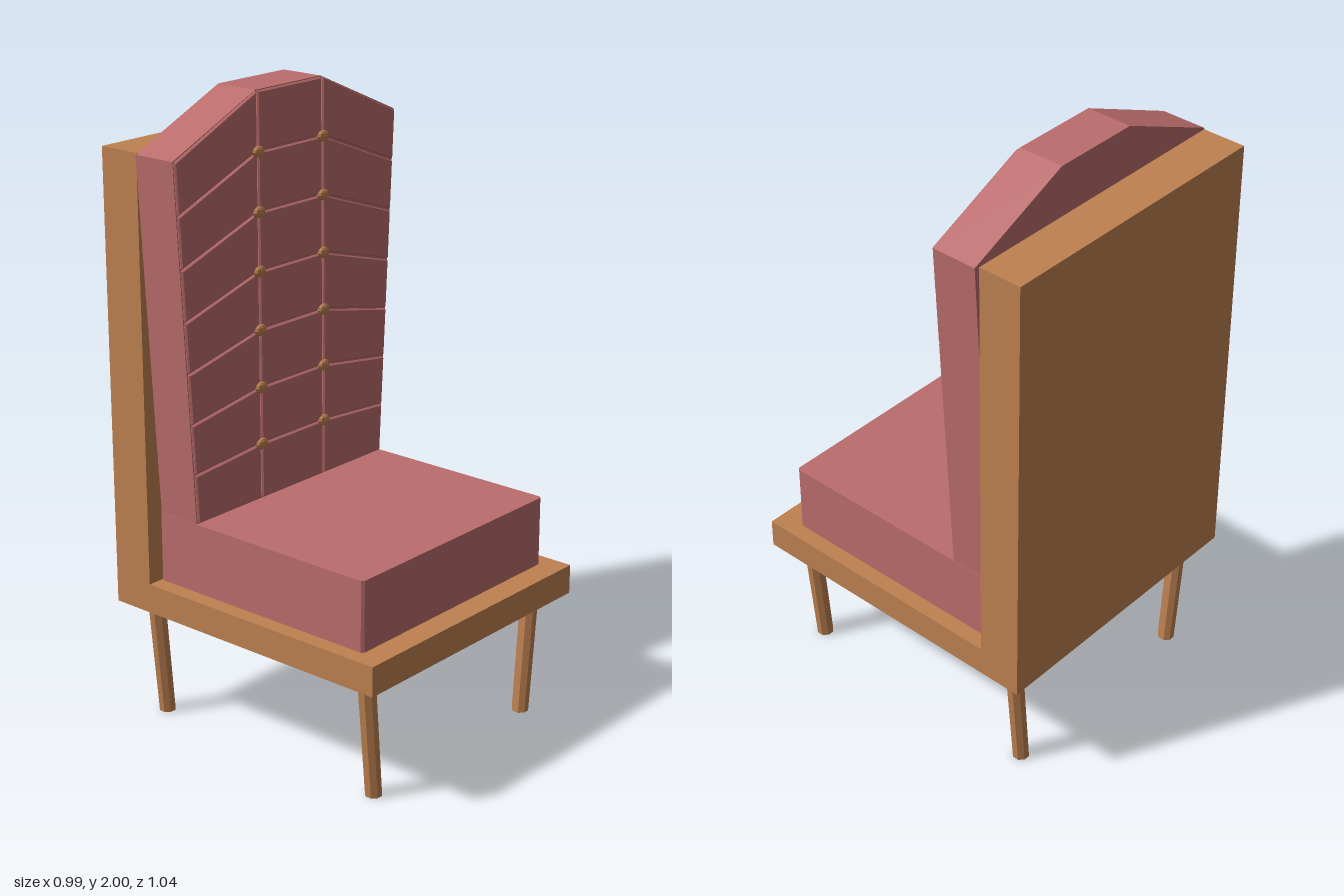
import * as THREE from 'three';

const wood = new THREE.MeshStandardMaterial({ color: 0xbd8150, flatShading: true });
const fabric = new THREE.MeshStandardMaterial({ color: 0xbb6c6c, flatShading: true });

function add(parent, name, geometry, material, x = 0, y = 0, z = 0) {
  const mesh = new THREE.Mesh(geometry, material);
  mesh.name = name;
  mesh.position.set(x, y, z);
  parent.add(mesh);
  return mesh;
}

// Box given by its lower and upper corners
function addBox(parent, name, material, [x0, y0, z0], [x1, y1, z1]) {
  return add(parent, name, new THREE.BoxGeometry(x1 - x0, y1 - y0, z1 - z0), material,
    (x0 + x1) / 2, (y0 + y1) / 2, (z0 + z1) / 2);
}

const polygon = (points) => new THREE.Shape(points.map(([x, y]) => new THREE.Vector2(x, y)));

export function createModel() {
  const chair = new THREE.Group();
  chair.name = 'tuftedChair';

  // Wooden platform and back board
  addBox(chair, 'platform', wood, [-0.485, 0.395, -0.52], [0.485, 0.49, 0.52]);
  addBox(chair, 'backBoard', wood, [-0.485, 0.395, -0.52], [0.485, 1.847, -0.377]);

  // Splayed octagonal legs: sheared so that both ends stay level
  for (const side of [-1, 1]) {
    for (const z of [-0.435, 0.427]) {
      const leg = new THREE.CylinderGeometry(0.029, 0.027, 0.4, 8);
      leg.rotateY(Math.PI / 8);
      leg.translate(0, 0.2, 0);
      const p = leg.attributes.position;
      for (let i = 0; i < p.count; i++) p.setX(i, p.getX(i) + side * 0.088 * p.getY(i));
      add(chair, z > 0 ? 'frontLeg' : 'backLeg', leg, wood, side * 0.366, 0, z);
    }
  }

  // Seat cushion with chamfered front corners, extruded upwards
  const seat = new THREE.ExtrudeGeometry(polygon([
    [-0.433, 0.37], [-0.433, -0.432], [-0.425, -0.44],
    [0.425, -0.44], [0.433, -0.432], [0.433, 0.37],
  ]), { depth: 0.225, bevelEnabled: false });
  seat.rotateX(-Math.PI / 2);
  add(chair, 'seatCushion', seat, fabric, 0, 0.49, 0);

  // Backrest slab, widening upwards to a peaked top
  const back = new THREE.Group();
  back.name = 'backrest';
  chair.add(back);
  const slab = new THREE.ExtrudeGeometry(polygon([
    [-0.43, 0.7], [0.43, 0.7], [0.495, 1.845], [0.145, 2], [-0.145, 2], [-0.495, 1.845],
  ]), { depth: 0.149, bevelEnabled: false });
  add(back, 'backrestSlab', slab, fabric, 0, 0, -0.37);

  // Seam grid: column 0..3 from -x to +x, row 0..7 upwards
  const seam = (col, row) => {
    const t = row / 7;
    const outer = col === 0 || col === 3;
    const x = outer ? 0.43 + 0.065 * t : 0.145;
    const y = 0.715 + (outer ? 1.13 : 1.285) * t;
    return [col < 2 ? -x : x, y];
  };

  // Raised bevelled panels between the seams
  const gap = 0.003;
  for (let col = 0; col < 3; col++) {
    for (let row = 0; row < 7; row++) {
      const corners = [[0, 0], [1, 0], [1, 1], [0, 1]].map(([a, b]) => {
        const [x, y] = seam(col + a, row + b);
        return [x + (a ? -gap : gap), y + (b ? -gap : gap)];
      });
      const panel = new THREE.ExtrudeGeometry(polygon(corners), {
        depth: 0.004, bevelThickness: 0.005, bevelSize: 0.004, bevelOffset: -0.004, bevelSegments: 1,
      });
      add(back, 'tuftPanel', panel, fabric, 0, 0, -0.222);
    }
  }

  // Tufting buttons where the inner seams cross
  for (const col of [1, 2]) {
    for (let row = 1; row < 7; row++) {
      const [x, y] = seam(col, row);
      const button = add(back, 'tuftButton', new THREE.SphereGeometry(1, 8, 6), wood, x, y, -0.212);
      button.scale.set(0.026, 0.018, 0.012);
    }
  }
  return chair;
}
